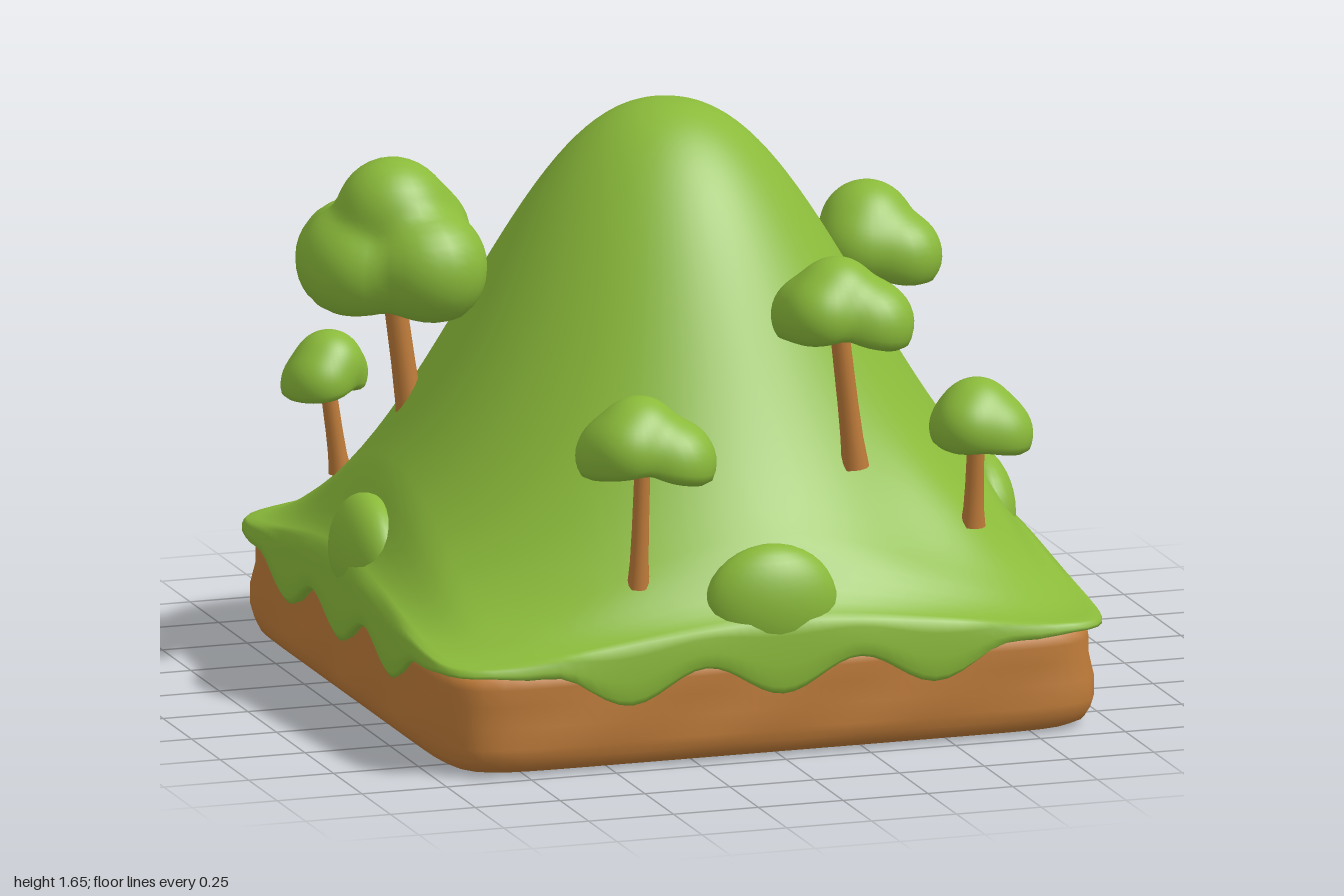
import * as THREE from 'three';
import { mergeVertices } from 'three/addons/utils/BufferGeometryUtils.js';

const { lerp, smoothstep } = THREE.MathUtils;

const grass = new THREE.MeshStandardMaterial({ color: 0x8aba3a });
grass.name = 'grass green';
const earth = new THREE.MeshStandardMaterial({ color: 0xbd7a38 });
earth.name = 'earth brown';

function mesh(name, geometry, material) {
  const m = new THREE.Mesh(geometry, material);
  m.name = name;
  return m;
}

// Point on a square outline with rounded corners
function outline(angle, half) {
  const c = Math.cos(angle), s = Math.sin(angle);
  const k = half / Math.pow(Math.abs(c) ** 13 + Math.abs(s) ** 13, 1 / 13);
  return [c * k, s * k];
}

// Closed surface through rings, listed from the top centre outward and down
function loft(ringCount, sides, pointAt) {
  const pos = [], index = [];
  for (let i = 0; i < ringCount; i++) {
    for (let j = 0; j < sides; j++) {
      pos.push(...pointAt(i, (j / sides) * Math.PI * 2));
      if (i === ringCount - 1) continue;
      const k = (j + 1) % sides;
      const a = i * sides + j, b = a + sides, c = i * sides + k, d = c + sides;
      index.push(a, c, b, c, d, b);
    }
  }
  const g = new THREE.BufferGeometry();
  g.setAttribute('position', new THREE.Float32BufferAttribute(pos, 3));
  g.setIndex(index);
  const merged = mergeVertices(g, 1e-5);
  merged.computeVertexNormals();
  return merged;
}

// Bell-shaped hill with a swell near the front right tree, easing flat at the rim
function hillHeight(x, z, s) {
  const r = Math.hypot(x, z + 0.06);
  const bell = 0.29 + 1.36 * Math.exp(-Math.pow(r / 0.733, 2.27));
  const swell = 0.06 * Math.exp(-((x - 0.64) ** 2 + (z - 0.62) ** 2) / 0.03);
  return lerp(bell + swell, 0.32, 0.4 * smoothstep(s, 0.84, 1));
}

// Scalloped lower edge of the turf, level near the corners
function turfEdge(x, z) {
  const u = Math.min(Math.abs(x), Math.abs(z));
  const wave = 0.23 - 0.045 * Math.cos((u / 0.45) * Math.PI * 2);
  return lerp(wave, 0.29, smoothstep(u, 0.55, 0.85));
}

function hillGeometry() {
  const steps = 40;
  // Overhang rings: outline scale, blend from hill to edge, lift
  const skirt = [[1.006, 0.2, 0], [1.011, 0.6, 0], [1.011, 0.9, 0], [1.0, 1, 0], [0.975, 1, 0.008], [0.94, 1, 0.02]];
  return loft(steps + 1 + skirt.length, 192, (i, angle) => {
    const [px, pz] = outline(angle, 0.98);
    if (i <= steps) {
      // Circular near the summit, square at the rim
      const s = i / steps;
      const round = 1 - smoothstep(s, 0.3, 0.9);
      const x = lerp(px, Math.cos(angle) * 0.98, round) * s;
      const z = lerp(pz, Math.sin(angle) * 0.98, round) * s;
      return [x, hillHeight(x, z, s), z];
    }
    const [scale, blend, lift] = skirt[i - steps - 1];
    const y = lerp(hillHeight(px, pz, 1), turfEdge(px, pz), blend);
    return [px * scale, y + lift, pz * scale];
  });
}

function soilGeometry() {
  const profile = [
    [0, 0.285], [0.93, 0.285], [0.955, 0.28], [0.962, 0.25], [0.962, 0.2], [0.968, 0.14], [0.97, 0.08],
    [0.965, 0.045], [0.95, 0.02], [0.925, 0.005], [0.89, 0], [0.86, 0], [0, 0],
  ];
  return loft(profile.length, 160, (i, angle) => {
    const [half, y] = profile[i];
    const dent = i > 2 && i < 8 ? 0.004 * Math.sin(angle * 14 + y * 30) : 0;
    const [x, z] = outline(angle, half + dent);
    return [x, y, z];
  });
}

// Draping foliage: a ball pushed out to the soft union of its lobes [x, y, z, radius],
// with the underside drawn up around the trunk
function foliageGeometry(lobes, hollow) {
  const ball = new THREE.SphereGeometry(1, 40, 32);
  ball.deleteAttribute('uv');
  ball.deleteAttribute('normal');
  const g = mergeVertices(ball, 1e-4);
  const p = g.attributes.position;
  const d = new THREE.Vector3(), c = new THREE.Vector3();
  const sharp = 55;
  for (let i = 0; i < p.count; i++) {
    d.fromBufferAttribute(p, i).normalize();
    let sum = 0;
    for (const [x, y, z, r] of lobes) {
      c.set(x, y, z);
      const along = d.dot(c);
      const disc = along * along - c.lengthSq() + r * r;
      if (disc > 0) sum += Math.exp(sharp * (along + Math.sqrt(disc)));
    }
    const tuck = 1 - hollow * smoothstep(-d.y, 0.45, 0.95);
    d.multiplyScalar((Math.log(sum) / sharp - 0.011) * tuck);
    p.setXYZ(i, d.x, d.y, d.z);
  }
  g.computeVertexNormals();
  return g;
}

// Tapered trunk from base to top with a flared foot
function trunkGeometry(base, top, radius) {
  const a = new THREE.Vector3(...base), b = new THREE.Vector3(...top);
  const length = a.distanceTo(b);
  const profile = [[1.35, 0], [1.1, 0.18], [1, 0.4], [0.9, 1]].map(([r, t]) => new THREE.Vector2(r * radius, t * length));
  const g = new THREE.LatheGeometry(profile, 14);
  const turn = new THREE.Quaternion().setFromUnitVectors(new THREE.Vector3(0, 1, 0), b.clone().sub(a).normalize());
  return g.applyQuaternion(turn).translate(a.x, a.y, a.z);
}

function makeTree(name, at, base, radius, hollow, lobes) {
  const tree = new THREE.Group();
  tree.name = name;
  const foliage = mesh('foliage', foliageGeometry(lobes, hollow), grass);
  foliage.position.set(...at);
  tree.add(mesh('trunk', trunkGeometry(base, at, radius), earth), foliage);
  return tree;
}

export function createModel() {
  const model = new THREE.Group();
  model.name = 'hillDiorama';
  model.add(mesh('soilBase', soilGeometry(), earth));
  model.add(mesh('grassHill', hillGeometry(), grass));

  // Mounds at the middle of each side: height and outward position per quarter turn
  [[0.42, 0.892], [0.42, 0.892], [0.45, 0.9], [0.42, 0.892]].forEach(([y, out], turn) => {
    const g = new THREE.SphereGeometry(1, 28, 18).scale(0.195, 0.175, 0.1).translate(-0.01, y, out);
    model.add(mesh('sideMound', g.rotateY((turn * Math.PI) / 2), grass));
  });

  // Trees on the left
  model.add(makeTree('largeLeftTree', [-0.74, 1.2, -0.28], [-0.68, 0.7, -0.25], 0.034, 0.3, [
    [0, 0.14, 0.03, 0.165], [-0.05, -0.03, -0.14, 0.18], [0.07, 0, 0.14, 0.175], [-0.1, 0, -0.02, 0.165],
    [0.09, 0.07, 0, 0.15], [0.05, 0, -0.13, 0.17], [-0.09, -0.02, 0.05, 0.16], [0.05, -0.06, 0.03, 0.16]]));
  model.add(makeTree('smallLeftTree', [-0.83, 0.82, -0.57], [-0.79, 0.52, -0.56], 0.024, 0.5, [
    [0.01, 0.015, 0, 0.105], [-0.04, -0.045, 0, 0.095], [0.05, -0.03, -0.05, 0.095], [-0.03, -0.03, 0.04, 0.09]]));

  // Trees on the right
  model.add(makeTree('rightTree', [0.69, 1.14, -0.3], [0.7, 0.74, -0.26], 0.027, 0.55, [
    [-0.02, 0.04, 0.01, 0.14], [0.06, -0.035, 0.08, 0.125], [0, -0.07, -0.11, 0.14],
    [-0.06, -0.01, 0.06, 0.12], [0.04, -0.04, -0.04, 0.13]]));
  model.add(makeTree('smallRightTree', [0.68, 0.79, -0.48], [0.69, 0.62, -0.48], 0.02, 0.5, [
    [0, 0.005, 0, 0.105], [0.02, -0.025, -0.04, 0.085], [0, -0.025, 0.04, 0.085], [-0.04, -0.01, -0.02, 0.09]]));

  // Trees in front
  model.add(makeTree('frontLeftTree', [-0.36, 0.9, 0.82], [-0.375, 0.48, 0.82], 0.024, 0.55, [
    [-0.01, 0.015, -0.01, 0.125], [-0.08, -0.04, -0.03, 0.115], [0.08, -0.06, 0.03, 0.13],
    [0.05, -0.05, -0.05, 0.115], [-0.06, -0.02, 0.03, 0.11]]));
  model.add(makeTree('frontMiddleTree', [0.27, 1.2, 0.64], [0.325, 0.73, 0.64], 0.029, 0.55, [
    [0, 0.025, 0, 0.125], [-0.07, -0.03, -0.04, 0.115], [0.09, -0.05, 0.04, 0.13],
    [-0.06, -0.02, 0.04, 0.115], [0.07, -0.04, -0.04, 0.12]]));
  model.add(makeTree('frontRightTree', [0.67, 0.85, 0.68], [0.665, 0.54, 0.66], 0.026, 0.5, [
    [0, 0.02, 0, 0.11], [-0.04, -0.015, 0.04, 0.1], [0.05, -0.04, -0.05, 0.11],
    [0.05, -0.04, 0.03, 0.11], [-0.03, -0.03, -0.04, 0.1]]));
  return model;
}
